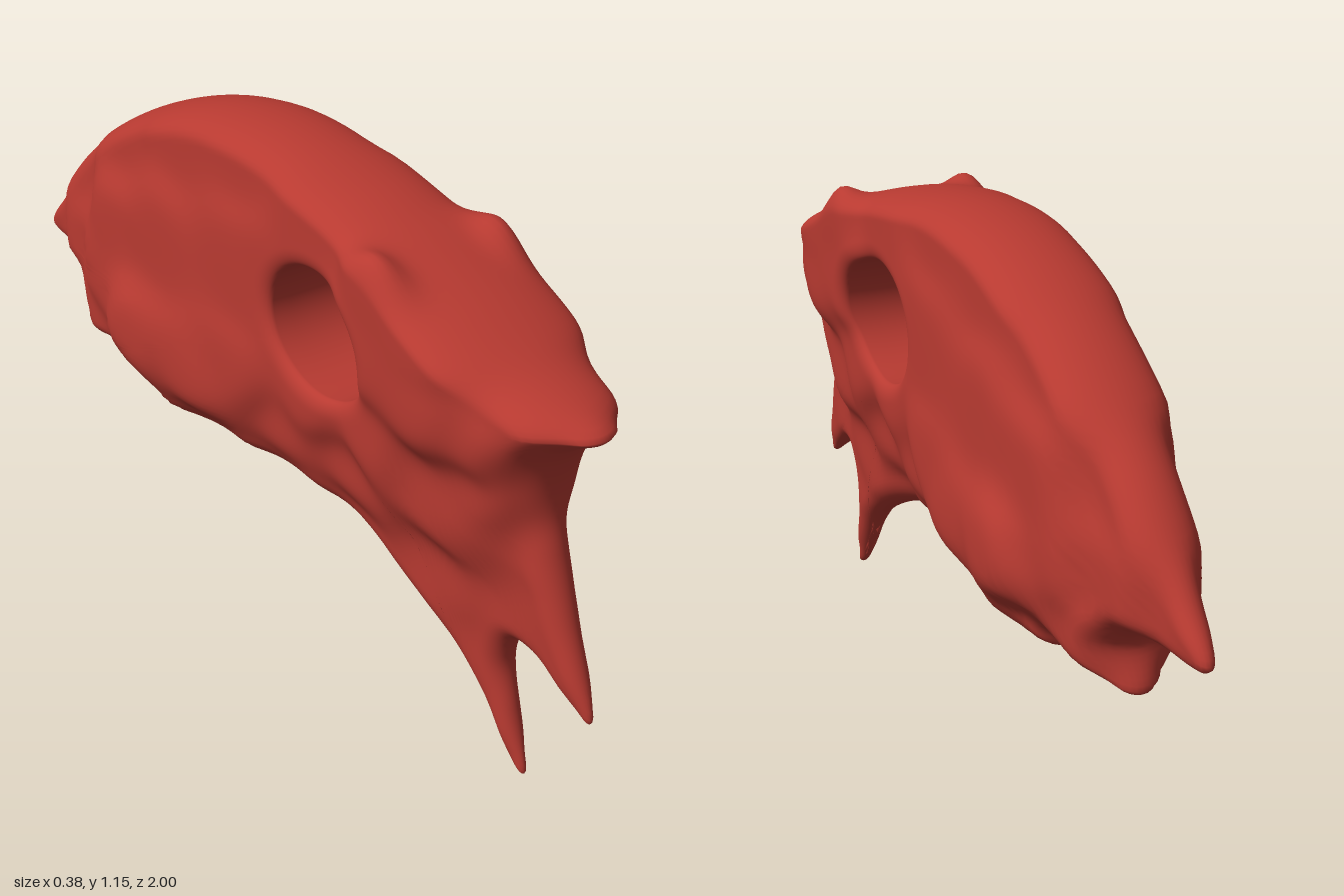
import * as THREE from 'three';

const red = new THREE.MeshStandardMaterial({ color: 0xb83a31 });
red.name = 'red';

// Side outline as z, y: from the beak over the crown to the rear tip and back underneath
const outline = [
  [0.98, 0.87], [0.8, 0.94], [0.65, 1.005], [0.5, 1.06], [0.42, 1.085], [0.3, 1.115], // brow
  [0, 1.15], [-0.25, 1.115], [-0.5, 1.01], [-0.75, 0.83], [-0.92, 0.64], [-1, 0.535], // crown
  [-0.77, 0.515], [-0.715, 0.46], [-0.74, 0.365], [-0.58, 0.395], [-0.49, 0.385], // rear notches
  [-0.46, 0.345], [-0.126, 0.36], [0.115, 0.38], [0.33, 0.355], [0.64, 0.21], // underside
  [0.72, 0.13], [0.79, 0.02], [0.82, 0.005], [0.78, 0.14], [0.753, 0.25], // lower prong
  [0.785, 0.325], [0.855, 0.33], [0.935, 0.28], [1, 0.245], // upper prong
  [0.93, 0.43], [0.88, 0.57], [0.86, 0.65], [0.87, 0.74], [0.91, 0.82], // throat
];

// Half width of the head at a few places, as z, y, width
const widths = [
  [0.98, 0.87, 0.06], [0.86, 0.89, 0.13], [0.65, 0.97, 0.185], [0.65, 0.82, 0.182], // beak
  [0.5, 1.05, 0.185], [0.47, 0.88, 0.18], [0.3, 1.06, 0.15], [0.1, 0.85, 0.15], // around the eye
  [0.25, 0.66, 0.15], [0.45, 0.66, 0.147],
  [0, 1.12, 0.135], [0, 0.85, 0.155], [0, 0.6, 0.168], [-0.25, 1.08, 0.13], // crown and side
  [-0.3, 0.8, 0.155], [-0.5, 0.98, 0.115], [-0.5, 0.75, 0.145],
  [-0.58, 0.6, 0.145], [-0.75, 0.8, 0.075], [-0.75, 0.6, 0.09], [-0.93, 0.6, 0.035], [-1, 0.535, 0.015], // rear
  [-0.4, 0.54, 0.192], [-0.15, 0.51, 0.182], [-0.65, 0.45, 0.12], [-0.74, 0.38, 0.05], // flank
  [-0.46, 0.36, 0.095], [-0.13, 0.37, 0.09], [0.12, 0.39, 0.075], [0.12, 0.51, 0.128], // underside
  [0.33, 0.37, 0.055], [0.35, 0.52, 0.105], [0.6, 0.38, 0.06], [0.62, 0.6, 0.115],
  [0.7, 0.24, 0.045], [0.76, 0.14, 0.032], [0.82, 0.01, 0.012], // lower prong
  [0.85, 0.42, 0.045], [0.93, 0.35, 0.034], [1, 0.25, 0.012], // upper prong
  [0.86, 0.6, 0.05], [0.75, 0.66, 0.11], [0.88, 0.75, 0.065], [0.78, 0.8, 0.155], // throat
];

const eye = { z: 0.285, y: 0.825, rz: 0.165, ry: 0.137 };
const around = outline.length * 8;
const rim = new THREE.CatmullRomCurve3(
  outline.map(([z, y]) => new THREE.Vector3(0, y, z)), true).getPoints(around).slice(0, around);

// Smooth blend of the listed half widths
function widthAt(z, y) {
  let sum = 0, total = 0;
  for (const [az, ay, w] of widths) {
    const k = ((z - az) ** 2 + (y - ay) ** 2 + 0.01) ** -3;
    sum += k * w;
    total += k;
  }
  return sum / total;
}

// Distance to the outline, measured to its segments
function rimDistance(z, y) {
  let best = Infinity;
  for (let i = 0; i < around; i++) {
    const a = rim[i], b = rim[(i + 1) % around];
    const dz = b.z - a.z, dy = b.y - a.y;
    const t = THREE.MathUtils.clamp(
      ((z - a.z) * dz + (y - a.y) * dy) / (dz * dz + dy * dy), 0, 1);
    best = Math.min(best, Math.hypot(z - a.z - t * dz, y - a.y - t * dy));
  }
  return best;
}

// Quarter-circle edge: 0 at the edge, 1 from the given radius inward
const rounded = (distance, radius) => Math.sqrt(1 - (1 - Math.min(distance / radius, 1)) ** 2);

// Ring of cross-sections: each runs from the rim to the eye hole, through it and back
function skullGeometry(steps = 36, wall = 6) {
  const positions = [], index = [];
  const across = steps * 2 + wall;

  rim.forEach((p, i) => {
    const angle = Math.atan2(p.y - eye.y, p.z - eye.z);
    const cos = Math.cos(angle), sin = Math.sin(angle);
    const radius = 1 / Math.hypot(cos / eye.rz, sin / eye.ry);
    const length = Math.hypot(p.y - eye.y, p.z - eye.z) - radius;

    const side = [];
    for (let j = 0; j <= steps; j++) {
      const d = length * (1 - Math.cos(Math.PI * j / steps)) / 2;
      const z = p.z - cos * d, y = p.y - sin * d;
      const w = widthAt(z, y);
      const edge = rounded(rimDistance(z, y), THREE.MathUtils.clamp(w, 0.02, 0.055));
      const hole = 0.85 + 0.15 * rounded(length - d, 0.04);
      side.push([j === 0 ? 0 : w * edge * hole, y, z]);
    }
    const [hx, hy, hz] = side[steps];
    const loop = [...side];
    for (let j = 1; j < wall; j++) loop.push([hx * (1 - 2 * j / wall), hy, hz]);
    for (let j = steps; j > 0; j--) loop.push([-side[j][0], side[j][1], side[j][2]]);

    loop.forEach(([x, y, z], j) => {
      // Small brow knobs above the eyes
      const near = Math.hypot((Math.abs(x) - 0.155) / 0.045, (z - 0.5) / 0.07, (y - 1.05) / 0.07);
      positions.push(x, y + 0.045 * Math.exp(-near * near), z);
      const i2 = (i + 1) % around, j2 = (j + 1) % across;
      const q = [i * across + j, i * across + j2, i2 * across + j, i2 * across + j2];
      index.push(q[0], q[1], q[2], q[1], q[3], q[2]);
    });
  });
  const geometry = new THREE.BufferGeometry();
  geometry.setAttribute('position', new THREE.Float32BufferAttribute(positions, 3));
  geometry.setIndex(index);
  geometry.computeVertexNormals();
  return geometry;
}

export function createModel() {
  const group = new THREE.Group();
  group.name = 'beakedSkull';
  const skull = new THREE.Mesh(skullGeometry(), red);
  skull.name = 'skull';
  group.add(skull);
  return group;
}
